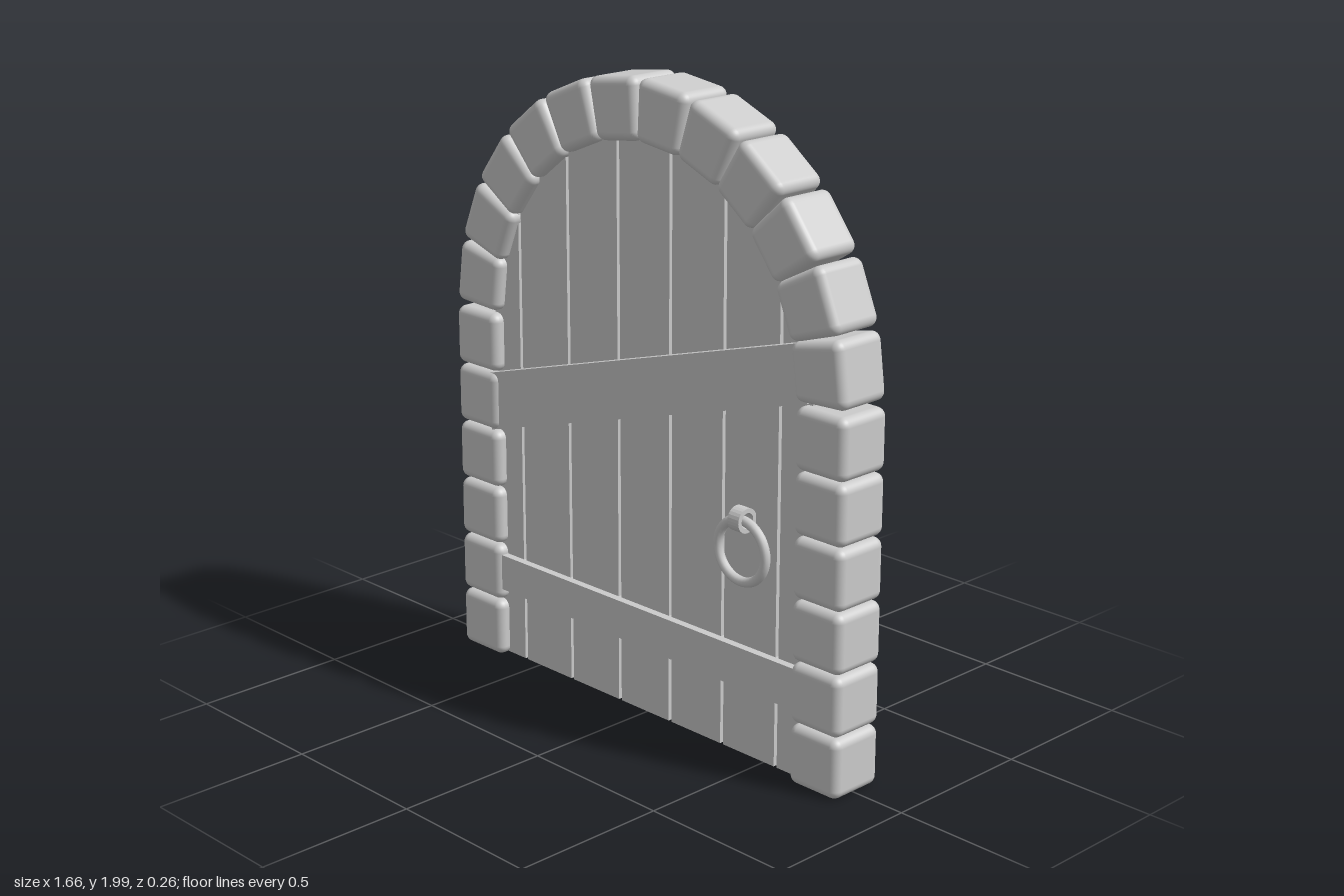
import * as THREE from 'three';
import { RoundedBoxGeometry } from 'three/addons/geometries/RoundedBoxGeometry.js';

const material = new THREE.MeshStandardMaterial({ color: 0xcccccc });
const ARCH_Y = 1.172; // height of the arch centre

function add(parent, name, geometry) {
  const mesh = new THREE.Mesh(geometry, material);
  mesh.name = name;
  parent.add(mesh);
  return mesh;
}

// Rounded stone; taper widens its top and narrows its bottom into a wedge
function stoneGeometry(width, height, taper) {
  const geometry = new RoundedBoxGeometry(width, height, 0.19, 4, 0.028);
  const p = geometry.attributes.position;
  for (let i = 0; i < p.count; i++) {
    p.setX(i, p.getX(i) * (1 + taper * p.getY(i) / height));
  }
  return geometry;
}

// Extrude a front outline to a depth centred on z = 0
function slab(points, depth) {
  const shape = new THREE.Shape(points.map(([x, y]) => new THREE.Vector2(x, y)));
  const geometry = new THREE.ExtrudeGeometry(shape, { depth, bevelEnabled: false });
  return geometry.translate(0, 0, -depth / 2);
}

// Plank whose top follows the arch, hidden behind the stones
function plankGeometry(x0, x1) {
  const points = [[x0, 0.01], [x1, 0.01]];
  const steps = 8;
  for (let i = 0; i <= steps; i++) {
    const x = THREE.MathUtils.lerp(x1, x0, i / steps);
    points.push([x, ARCH_Y + Math.sqrt(0.7 * 0.7 - x * x)]);
  }
  return slab(points, 0.11);
}

export function createModel() {
  const model = new THREE.Group();
  model.name = 'archedDoor';

  // Stone frame: two columns and an arch of wedges
  const frame = new THREE.Group();
  frame.name = 'stoneFrame';
  model.add(frame);
  const block = stoneGeometry(0.19, 0.189, 0);
  for (const side of [-1, 1]) {
    for (let i = 0; i < 6; i++) {
      add(frame, 'columnStone', block).position.set(side * 0.735, 0.0975 + i * 0.1935, 0);
    }
  }
  const wedge = stoneGeometry(0.187, 0.19, 0.17);
  for (let i = 0; i < 12; i++) {
    const angle = THREE.MathUtils.degToRad(-82.5 + i * 15);
    const stone = add(frame, 'archStone', wedge);
    stone.position.set(Math.sin(angle) * 0.727, ARCH_Y + Math.cos(angle) * 0.727, 0);
    stone.rotation.z = -angle;
  }

  // Seven upright planks with narrow gaps
  const door = new THREE.Group();
  door.name = 'door';
  model.add(door);
  const pitch = 0.2225;
  for (let i = -3; i <= 3; i++) {
    const x0 = Math.max(-0.68, (i - 0.5) * pitch + 0.006);
    const x1 = Math.min(0.68, (i + 0.5) * pitch - 0.006);
    add(door, 'plank', plankGeometry(x0, x1));
  }

  // Battens standing proud of both faces
  add(door, 'lowerBatten', slab([[-0.68, 0.236], [0.68, 0.23], [0.68, 0.361], [-0.68, 0.354]], 0.16));
  add(door, 'diagonalBatten', slab([[-0.68, 0.773], [0.68, 1.171], [0.68, 1.35], [-0.68, 0.963]], 0.16));

  // Ring handle and its loop on each face
  const loopShape = new THREE.Shape().absarc(0, 0, 0.038, 0, Math.PI * 2, false);
  loopShape.holes.push(new THREE.Path().absarc(0, 0, 0.024, 0, Math.PI * 2, true));
  const loop = new THREE.ExtrudeGeometry(loopShape, { depth: 0.044, bevelEnabled: false, curveSegments: 12 });
  loop.translate(0, 0, -0.022).rotateY(Math.PI / 2);
  const ring = new THREE.TorusGeometry(0.095, 0.015, 10, 40);
  for (const side of [-1, 1]) {
    const handle = new THREE.Group();
    handle.name = side > 0 ? 'frontHandle' : 'backHandle';
    handle.position.set(0.443, 0, side * 0.09);
    add(handle, 'handleLoop', loop).position.y = 0.77;
    add(handle, 'handleRing', ring).position.y = 0.672;
    model.add(handle);
  }
  return model;
}
